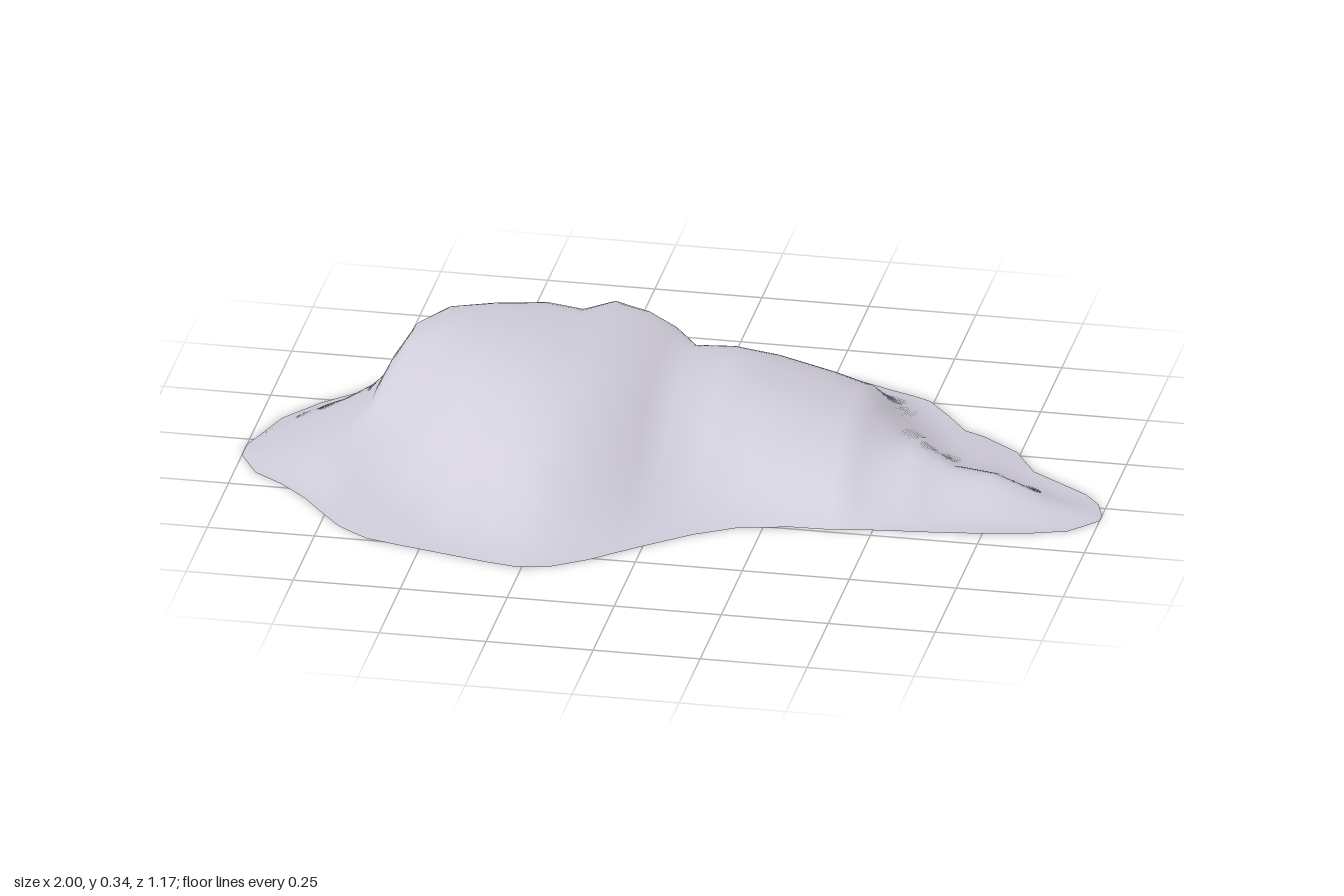
import * as THREE from 'three';

// Footprint stations: x, back edge z, front edge z
const OUTLINE = [
  [-1, 0.03, 0.09], [-0.95, -0.13, 0.18], [-0.88, -0.23, 0.23], [-0.81, -0.3, 0.3],
  [-0.75, -0.39, 0.38], [-0.71, -0.47, 0.43], [-0.68, -0.53, 0.455], [-0.63, -0.55, 0.49],
  [-0.56, -0.57, 0.51], [-0.46, -0.575, 0.535], [-0.34, -0.58, 0.565], [-0.26, -0.56, 0.58],
  [-0.19, -0.535, 0.565], [-0.11, -0.49, 0.51], [-0.05, -0.475, 0.455], [0, -0.465, 0.41],
  [0.1, -0.5, 0.325], [0.19, -0.565, 0.27], [0.31, -0.59, 0.24], [0.4, -0.55, 0.237],
  [0.45, -0.53, 0.23], [0.49, -0.51, 0.222], [0.55, -0.435, 0.215], [0.6, -0.365, 0.21],
  [0.65, -0.34, 0.205], [0.74, -0.27, 0.192], [0.8, -0.17, 0.18], [0.87, -0.12, 0.165],
  [0.94, -0.07, 0.14], [0.98, -0.02, 0.095], [1, 0.04, 0.07],
];
// Crest line: z, height at each station
const CREST = [
  [0.06, 0], [0.04, 0.017], [0.02, 0.04], [0.01, 0.07],
  [0, 0.1], [-0.02, 0.14], [-0.04, 0.2], [-0.05, 0.28],
  [-0.04, 0.322], [-0.04, 0.337], [-0.05, 0.345], [-0.08, 0.325],
  [-0.15, 0.33], [-0.17, 0.308], [-0.17, 0.277], [-0.15, 0.245],
  [-0.11, 0.265], [-0.1, 0.247], [-0.1, 0.21], [-0.08, 0.195],
  [-0.05, 0.165], [-0.02, 0.12], [0.02, 0.13], [0.03, 0.115],
  [0.04, 0.09], [0.04, 0.08], [0.04, 0.06], [0.04, 0.028],
  [0.04, 0.01], [0.04, 0.004], [0.055, 0],
];
// Slope shape along x: x, front roundness, front flare, back roundness, back flare
const SLOPES = [
  [-1, 2.8, 1.7, 2.6, 1.7], [-0.75, 2.6, 1.8, 2.6, 1.7], [-0.68, 2.1, 7, 2.5, 2.8],
  [-0.63, 2, 13, 2.5, 3.8], [-0.56, 2.8, 8, 2.6, 3], [-0.46, 2.7, 3.3, 2.6, 2.6],
  [-0.34, 2.5, 1.7, 2.6, 2.5], [-0.19, 3.5, 2, 2.6, 2.4], [-0.05, 2.8, 1.8, 2.3, 1.9],
  [0, 2, 1.6, 2.1, 1.8], [0.1, 2.5, 2.3, 2, 1.7], [0.19, 3.3, 1.8, 2, 1.7],
  [0.4, 3, 1.2, 1.9, 1.7], [0.55, 2.4, 2, 1.6, 2.5], [0.65, 2, 4.5, 1.5, 6],
  [0.8, 2, 3.5, 1.5, 3.5], [1, 2, 2, 1.6, 2],
];

const HALF = 20; // columns on each side of the crest
const { lerp, smoothstep } = THREE.MathUtils;

// Fall from the crest (s = 0) to the edge (s = 1); steep walls stand on a low skirt
function fall(s, round, flare) {
  const wall = Math.pow(1 - Math.pow(s, round), flare);
  return lerp(wall, 1 - s * s, 0.28 * smoothstep(flare, 2.5, 5.5));
}

// Slope values blended between the two nearest stations
function slopesAt(x) {
  const k = Math.max(1, SLOPES.findIndex((row) => row[0] >= x));
  const a = SLOPES[k - 1], b = SLOPES[k];
  const t = (x - a[0]) / (b[0] - a[0]);
  return a.slice(1).map((value, i) => lerp(value, b[i + 1], t));
}

// Lean the normals upwards for soft, even shading
function softenNormals(geometry) {
  const normals = geometry.attributes.normal;
  const n = new THREE.Vector3();
  for (let i = 0; i < normals.count; i++) {
    n.fromBufferAttribute(normals, i);
    n.set(n.x * 0.5, n.y, n.z * 0.5).normalize();
    normals.setXYZ(i, n.x, n.y, n.z);
  }
}

function moundGeometry() {
  const positions = [], index = [], cols = HALF * 2 + 1;
  OUTLINE.forEach(([x, back, front], i) => {
    const [crest, height] = CREST[i];
    const [frontRound, frontFlare, backRound, backFlare] = slopesAt(x);
    for (let j = -HALF; j <= HALF; j++) {
      const s = Math.abs(j) / HALF;
      const z = lerp(crest, j < 0 ? back : front, s);
      const f = j < 0 ? fall(s, backRound, backFlare) : fall(s, frontRound, frontFlare);
      positions.push(x, height * f, z);
    }
  });
  for (let i = 0; i < OUTLINE.length - 1; i++) {
    for (let j = 0; j < cols - 1; j++) {
      const a = i * cols + j, c = a + cols;
      index.push(a, a + 1, c, a + 1, c + 1, c);
    }
  }
  const geometry = new THREE.BufferGeometry();
  geometry.setAttribute('position', new THREE.Float32BufferAttribute(positions, 3));
  geometry.setIndex(index);
  geometry.computeVertexNormals();
  softenNormals(geometry);
  return geometry;
}

export function createModel() {
  const group = new THREE.Group();
  group.name = 'moundModel';
  // Open shell, hollow underneath
  const paleGrey = new THREE.MeshStandardMaterial({ color: 0xd0ccda, side: THREE.DoubleSide });
  paleGrey.name = 'paleLavenderGrey';
  const mound = new THREE.Mesh(moundGeometry(), paleGrey);
  mound.name = 'mound';
  group.add(mound);
  return group;
}
